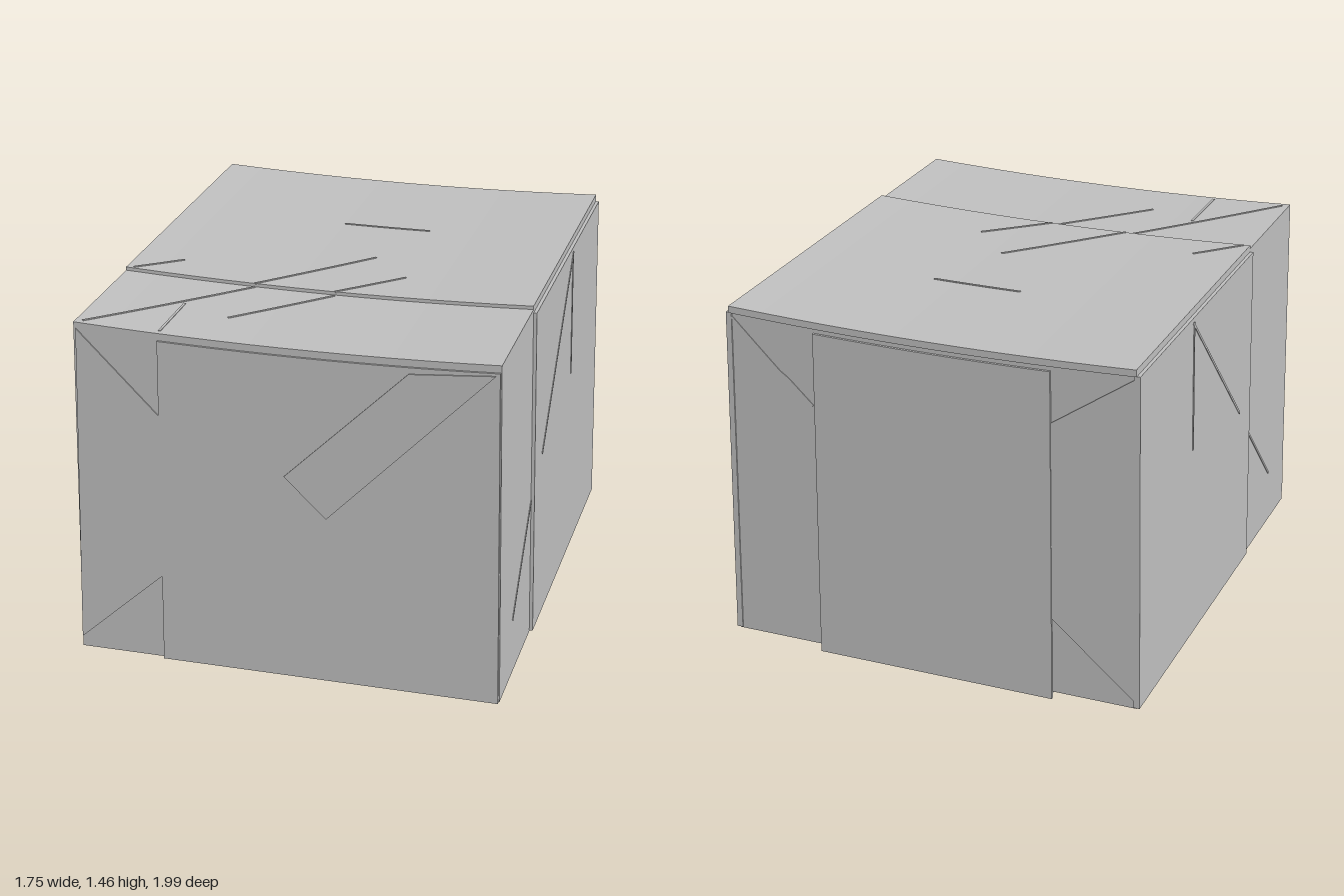
import * as THREE from 'three';

const H = 1.44;

// Gentle paper warp: walls lean inwards towards the top, and the lid sags along its middle.
function warp(geometry) {
  const g = geometry.index ? geometry.toNonIndexed() : geometry;
  const p = g.attributes.position;
  for (let i = 0; i < p.count; i++) {
    const x = p.getX(i), y = p.getY(i);
    p.setX(i, x * (1 - 0.03 * y / H));
    if (y > 1.2) p.setY(i, y - 0.02 * (1 - Math.min(1, (x / 0.86) ** 2)));
  }
  g.computeVertexNormals();
  return g;
}

export function createModel() {
  const model = new THREE.Group();
  const paper = new THREE.MeshStandardMaterial({ color: 0xbfbfbf, flatShading: true });
  paper.name = 'grey paper';

  function add(name, geometry) {
    const mesh = new THREE.Mesh(warp(geometry), paper);
    mesh.name = name;
    model.add(mesh);
  }

  // Sheet given by its limits along each axis
  function sheet(name, [x0, x1], [y0, y1], [z0, z1]) {
    const g = new THREE.BoxGeometry(x1 - x0, y1 - y0, z1 - z0, 12, 1, 1);
    g.translate((x0 + x1) / 2, (y0 + y1) / 2, (z0 + z1) / 2);
    add(name, g);
  }

  // Faces: each places local (u, v, outward) on one side of the box
  const basis = (a, b, c, origin) => new THREE.Matrix4()
    .makeBasis(new THREE.Vector3(...a), new THREE.Vector3(...b), new THREE.Vector3(...c))
    .setPosition(...origin);
  const faces = {
    front: basis([1, 0, 0], [0, 1, 0], [0, 0, 1], [0, 0, 0.985]),
    frontPanel: basis([1, 0, 0], [0, 1, 0], [0, 0, 1], [0, 0, 0.994]),
    back: basis([-1, 0, 0], [0, 1, 0], [0, 0, -1], [0, 0, -0.985]),
    left: basis([0, 0, -1], [0, 1, 0], [1, 0, 0], [0.86, 0, 0]),
    leftPanel: basis([0, 0, -1], [0, 1, 0], [1, 0, 0], [0.874, 0, 0]),
    right: basis([0, 0, 1], [0, 1, 0], [-1, 0, 0], [-0.86, 0, 0]),
    rightPanel: basis([0, 0, 1], [0, 1, 0], [-1, 0, 0], [-0.874, 0, 0]),
    top: basis([1, 0, 0], [0, 0, -1], [0, 1, 0], [0, 1.444, 0]),
    lid: basis([1, 0, 0], [0, 0, -1], [0, 1, 0], [0, 1.458, 0]),
    base: basis([1, 0, 0], [0, 0, 1], [0, -1, 0], [0, 0.006, 0]),
  };

  // Flat folded layer with any outline
  function fold(name, face, points, depth = 0.005) {
    const shape = new THREE.Shape(points.map(([u, v]) => new THREE.Vector2(u, v)));
    const g = new THREE.ExtrudeGeometry(shape, { depth, bevelEnabled: false });
    add(name, g.applyMatrix4(faces[face]));
  }

  // Narrow raised crease between two points
  function crease(name, face, [u0, v0], [u1, v1]) {
    const du = u1 - u0, dv = v1 - v0;
    const g = new THREE.BoxGeometry(Math.hypot(du, dv), 0.01, 0.006, 10, 1, 1);
    g.rotateZ(Math.atan2(dv, du)).translate((u0 + u1) / 2, (v0 + v1) / 2, 0);
    add(name, g.applyMatrix4(faces[face]));
  }

  // Folded paper box
  sheet('boxBody', [-0.86, 0.86], [0.035, 1.444], [-0.985, 0.985]);

  // Outer layers wrapped around the box
  sheet('topFlap', [-0.86, 0.86], [1.43, 1.458], [-0.995, 0.4]);
  sheet('baseFlap', [-0.5, 0.49], [0.006, 0.04], [-0.995, 0.4]);
  sheet('frontPanel', [-0.512, 0.855], [0.03, 1.415], [0.98, 0.994]);
  sheet('backBand', [-0.512, 0.49], [0.006, 1.41], [-0.995, -0.98]);
  for (const [name, s] of [['left', 1], ['right', -1]]) {
    const x = s > 0 ? [0.85, 0.874] : [-0.874, -0.85];
    sheet(name + 'SidePanel', x, [0.04, 1.43], [-0.99, 0.4]);
  }

  // Front folds: tucked tab, and the corner folds beside the panel
  fold('frontTab', 'frontPanel', [[0.84, 1.405], [0.5, 1.39], [0, 0.9], [0.17, 0.74]]);
  fold('frontCornerFold', 'front', [[-0.85, 1.42], [-0.86, 0.08], [-0.512, 0.4], [-0.512, 1.09]]);

  // Back corner folds beside the band
  fold('backCornerFold', 'back', [[0.512, 1.2], [0.86, 1.42], [0.86, 0.06], [0.512, 0.36]]);
  crease('backCrease', 'back', [-0.86, 1.42], [-0.5, 1.09]);

  // Side creases, mirrored on both sides
  for (const [name, s] of [['left', 1], ['right', -1]]) {
    const at = (z, y) => [-s * z, y];
    crease(name + 'UpperDiagonal', name + 'Panel', at(-0.38, 1.41), at(0.25, 0.77));
    crease(name + 'LowerDiagonal', name, at(0.4, 0.63), at(0.75, 0.27));
    crease(name + 'UpperSeam', name + 'Panel', at(-0.37, 1.41), at(-0.37, 0.87));
  }

  // Lid creases, split where they climb onto the top flap
  crease('topDiagonal', 'top', [-0.83, -0.96], [-0.3, -0.405]);
  crease('topDiagonalInner', 'lid', [-0.3, -0.4], [0.1, 0.02]);
  crease('topSecondDiagonal', 'top', [-0.3, -0.75], [0.04, -0.41]);
  crease('topSecondDiagonalInner', 'lid', [0.04, -0.4], [0.28, -0.18]);
  crease('topCrossCrease', 'lid', [-0.14, 0.39], [0.24, 0.39]);
  crease('topCornerCrease', 'lid', [-0.83, -0.39], [-0.66, -0.24]);
  crease('topFrontCrease', 'top', [-0.512, -0.96], [-0.512, -0.66]);

  // Base creases
  crease('baseDiagonal', 'base', [-0.4, -0.3], [0.1, 0.2]);
  crease('baseCross', 'base', [-0.4, -0.3], [-0.1, -0.6]);

  return model;
}
